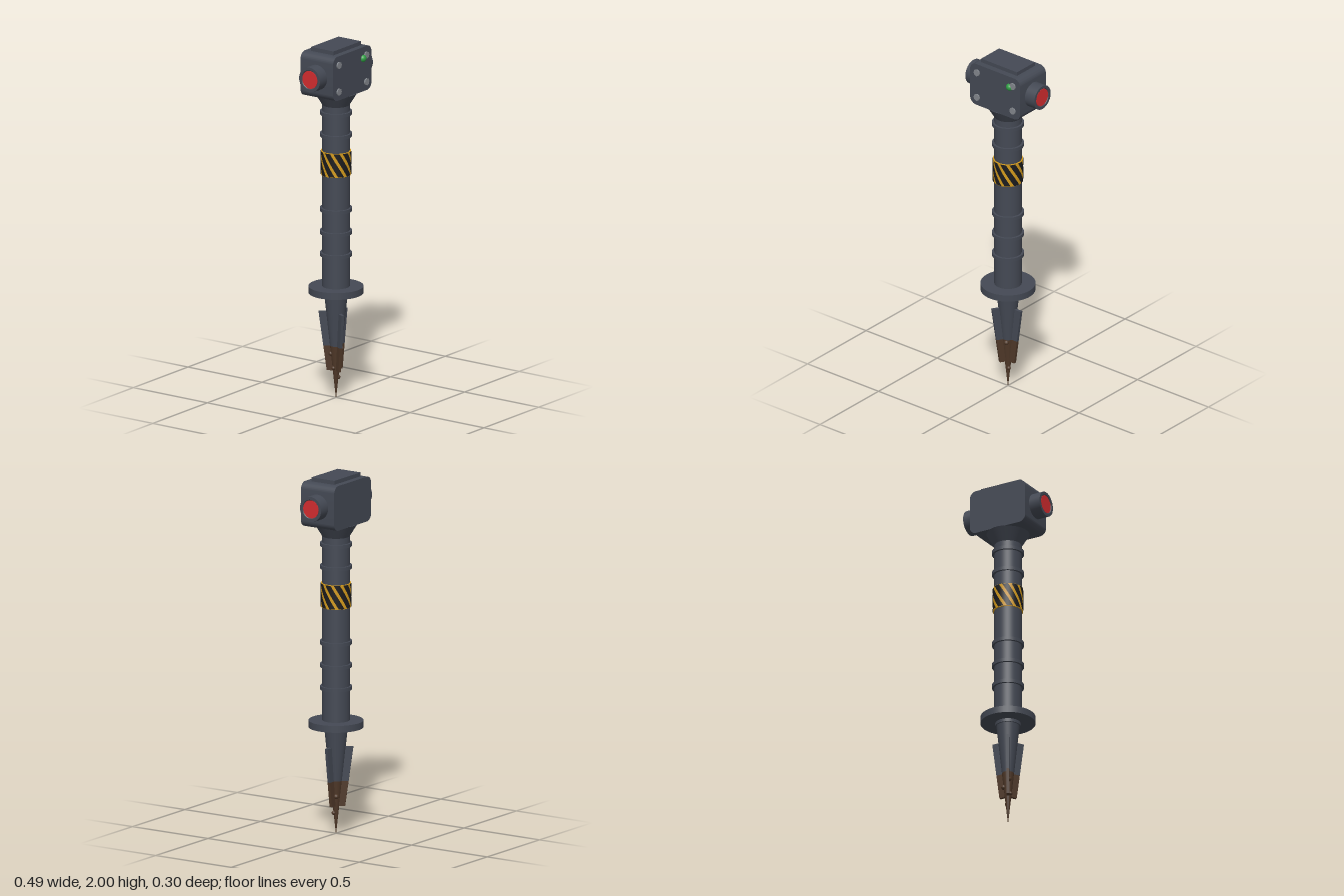
import * as THREE from 'three';
import { toCreasedNormals } from 'three/addons/utils/BufferGeometryUtils.js';

const paint = (name, color, side = THREE.FrontSide) => {
  const m = new THREE.MeshStandardMaterial({ color, side });
  m.name = name;
  return m;
};

export function createModel() {
  const model = new THREE.Group();
  model.name = 'groundStake';

  const steel = paint('dark steel', 0x444954);
  const black = paint('stripe black', 0x1b1b1d, THREE.DoubleSide);
  const yellow = paint('hazard yellow', 0xd39a1c);
  const red = paint('lens red', 0xd32c2f);
  const green = paint('indicator green', 0x2f9e44);
  const silver = paint('bolt grey', 0x82868c);
  const soil = paint('soil brown', 0x4f3828);

  const add = (name, geometry, material, x = 0, y = 0, z = 0) => {
    const mesh = new THREE.Mesh(geometry, material);
    mesh.name = name;
    mesh.position.set(x, y, z);
    model.add(mesh);
    return mesh;
  };
  // Upright cylinder or cone between two heights
  const column = (name, material, y0, y1, rBottom, rTop = rBottom) =>
    add(name, new THREE.CylinderGeometry(rTop, rBottom, y1 - y0, 48), material, 0, (y0 + y1) / 2, 0);

  // Shaft, neck, ribs and ground flange
  column('shaft', steel, 0.6, 1.69, 0.075);
  column('neck', steel, 1.655, 1.73, 0.072, 0.118);
  for (const y of [0.815, 0.94, 1.068, 1.49, 1.615]) column('rib', steel, y - 0.01, y + 0.01, 0.087);
  column('flange', steel, 0.595, 0.633, 0.15);
  column('collar', steel, 0.577, 0.597, 0.07);

  // Hazard band: yellow sleeve with twisted black stripes
  const [bandLow, bandHigh, stripes] = [1.265, 1.4, 10];
  column('hazardBand', yellow, bandLow, bandHigh, 0.082);
  const pitch = (Math.PI * 2) / stripes;
  for (let i = 0; i < stripes; i++) {
    const h = bandHigh - bandLow - 0.004;
    const g = new THREE.CylinderGeometry(0.0835, 0.0835, h, 6, 10, true, i * pitch, pitch * 0.64);
    const p = g.attributes.position;
    for (let k = 0; k < p.count; k++) {
      const angle = Math.atan2(p.getX(k), p.getZ(k)) - (p.getY(k) / h) * 0.95;
      p.setXYZ(k, Math.sin(angle) * 0.0835, p.getY(k), Math.cos(angle) * 0.0835);
    }
    g.computeVertexNormals();
    add('hazardStripe', g, black, 0, (bandLow + bandHigh) / 2, 0);
  }

  // Spike: clean upper part and soiled tip
  const soilLine = 0.295;
  column('spike', steel, soilLine, 0.585, 0.033, 0.064);
  column('spikeTip', soil, 0, soilLine, 0.001, 0.033);

  // Three tapering fins, split at the soil line
  const finTop = 0.487, finBottom = 0.155;
  const finEdge = (y) => 0.05 + ((y - finBottom) / (finTop - finBottom)) * 0.045;
  const finPart = (y0, y1) => {
    const shape = new THREE.Shape([
      new THREE.Vector2(0, y0), new THREE.Vector2(finEdge(y0), y0),
      new THREE.Vector2(finEdge(y1), y1), new THREE.Vector2(0, y1),
    ]);
    return new THREE.ExtrudeGeometry(shape, { depth: 0.016, bevelEnabled: false }).translate(0, 0, -0.008);
  };
  const finUpper = finPart(soilLine, finTop), finLower = finPart(finBottom, soilLine);
  for (let i = 0; i < 3; i++) {
    const angle = (i * Math.PI * 2) / 3;
    add('fin', finUpper, steel).rotation.y = angle;
    add('finTip', finLower, soil).rotation.y = angle;
  }

  // Clods of soil stuck to the tip: angle from the front, height, size
  for (const [angle, y, r] of [[0.4, 0.28, 0.014], [2.2, 0.21, 0.014], [1.0, 0.115, 0.012], [3.9, 0.25, 0.013], [4.5, 0.17, 0.011]]) {
    const d = y * 0.112;
    add('soilClod', new THREE.SphereGeometry(r, 12, 8), soil, Math.sin(angle) * d, y, Math.cos(angle) * d);
  }

  // Head: housing rounded in its front outline, with a raised lid
  const [w, h, r] = [0.176, 0.125, 0.04];
  const outline = new THREE.Shape();
  outline.absarc(w - r, h - r, r, 0, Math.PI / 2);
  outline.absarc(r - w, h - r, r, Math.PI / 2, Math.PI);
  outline.absarc(r - w, r - h, r, Math.PI, Math.PI * 1.5);
  outline.absarc(w - r, r - h, r, Math.PI * 1.5, Math.PI * 2);
  const housing = new THREE.ExtrudeGeometry(outline, { depth: 0.22, bevelEnabled: false, curveSegments: 8 });
  add('headHousing', toCreasedNormals(housing, 0.6), steel, 0, 1.853, -0.11);
  add('headLid', new THREE.BoxGeometry(0.252, 0.03, 0.152), steel, 0, 1.985, 0);

  // Sensor barrels with a lens in each end
  const barrel = new THREE.LatheGeometry(
    [[0.07, 0], [0.07, 0.083], [0.054, 0.083], [0.05, 0.078], [0, 0.078]].map(([x, y]) => new THREE.Vector2(x, y)), 40);
  const lens = new THREE.CylinderGeometry(0.05, 0.05, 0.004, 40);
  for (const side of [1, -1]) {
    add('sensorBarrel', toCreasedNormals(barrel, 0.6), steel, side * 0.16, 1.853, 0).rotation.z = -side * Math.PI / 2;
    add('lens', lens, red, side * 0.239, 1.853, 0).rotation.z = -side * Math.PI / 2;
  }

  // Front bolts and indicator lamp
  for (const x of [-0.126, 0.126]) {
    for (const y of [1.777, 1.928]) {
      const bolt = new THREE.CylinderGeometry(0.02, 0.02, 0.014, 8);
      add('bolt', bolt, silver, x, y, 0.111).rotation.x = Math.PI / 2;
    }
  }
  add('indicatorLamp', new THREE.SphereGeometry(0.021, 24, 16), green, 0.1, 1.914, 0.106);

  return model;
}
